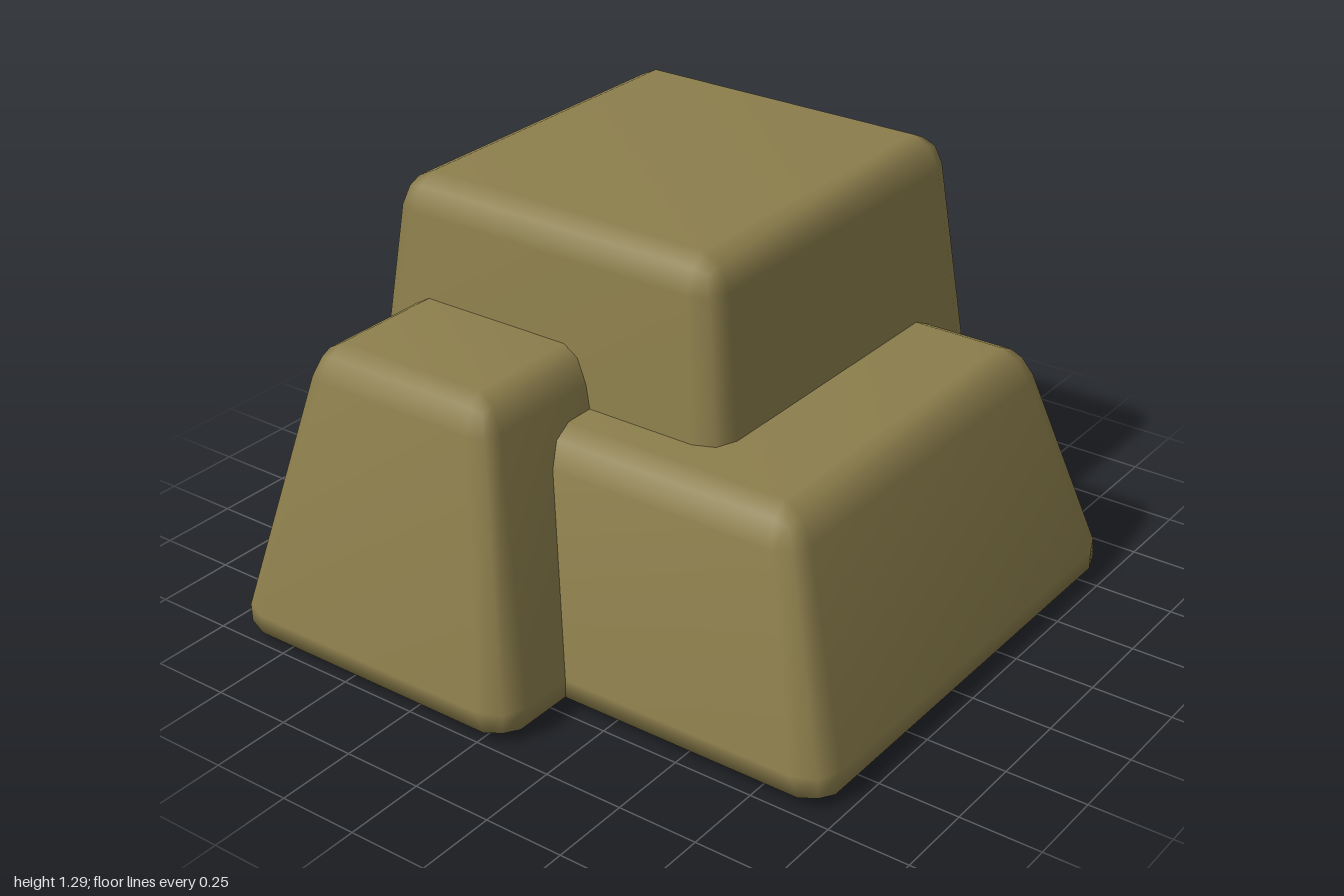
import * as THREE from 'three';
import { RoundedBoxGeometry } from 'three/addons/geometries/RoundedBoxGeometry.js';
import { mergeVertices } from 'three/addons/utils/BufferGeometryUtils.js';

const BEVEL = 0.1;

// Bevelled block standing on y = 0 whose half-widths shrink linearly from
// the lower bevel line (low) to the upper bevel line (high); pairs are [x, z].
function taperedBlock(height, low, high) {
  const box = new RoundedBoxGeometry(low[0] * 2, height, low[1] * 2, 1, BEVEL);
  box.deleteAttribute('normal');
  box.deleteAttribute('uv');
  box.clearGroups();
  const geometry = mergeVertices(box, 1e-4);
  geometry.translate(0, height / 2, 0);
  const p = geometry.attributes.position;
  for (let i = 0; i < p.count; i++) {
    const t = (p.getY(i) - BEVEL) / (height - 2 * BEVEL);
    p.setX(i, p.getX(i) * THREE.MathUtils.lerp(1, high[0] / low[0], t));
    p.setZ(i, p.getZ(i) * THREE.MathUtils.lerp(1, high[1] / low[1], t));
  }
  geometry.computeVertexNormals();
  return geometry;
}

export function createModel() {
  const group = new THREE.Group();
  group.name = 'rockCluster';
  const stone = new THREE.MeshStandardMaterial({ color: 0x8c7e4c });
  stone.name = 'olive stone';

  const blocks = [
    { name: 'tallRock', x: 0.27, z: -0.245, height: 1.29, low: [0.73, 0.717], high: [0.628, 0.575] },
    { name: 'sideRock', x: -0.485, z: -0.415, height: 0.94, low: [0.515, 0.515], high: [0.342, 0.338] },
    { name: 'frontRock', x: 0.07, z: 0.3, height: 0.77, low: [0.8, 0.66], high: [0.665, 0.47] },
  ];
  for (const b of blocks) {
    const mesh = new THREE.Mesh(taperedBlock(b.height, b.low, b.high), stone);
    mesh.name = b.name;
    mesh.position.set(b.x, 0, b.z);
    group.add(mesh);
  }
  return group;
}
